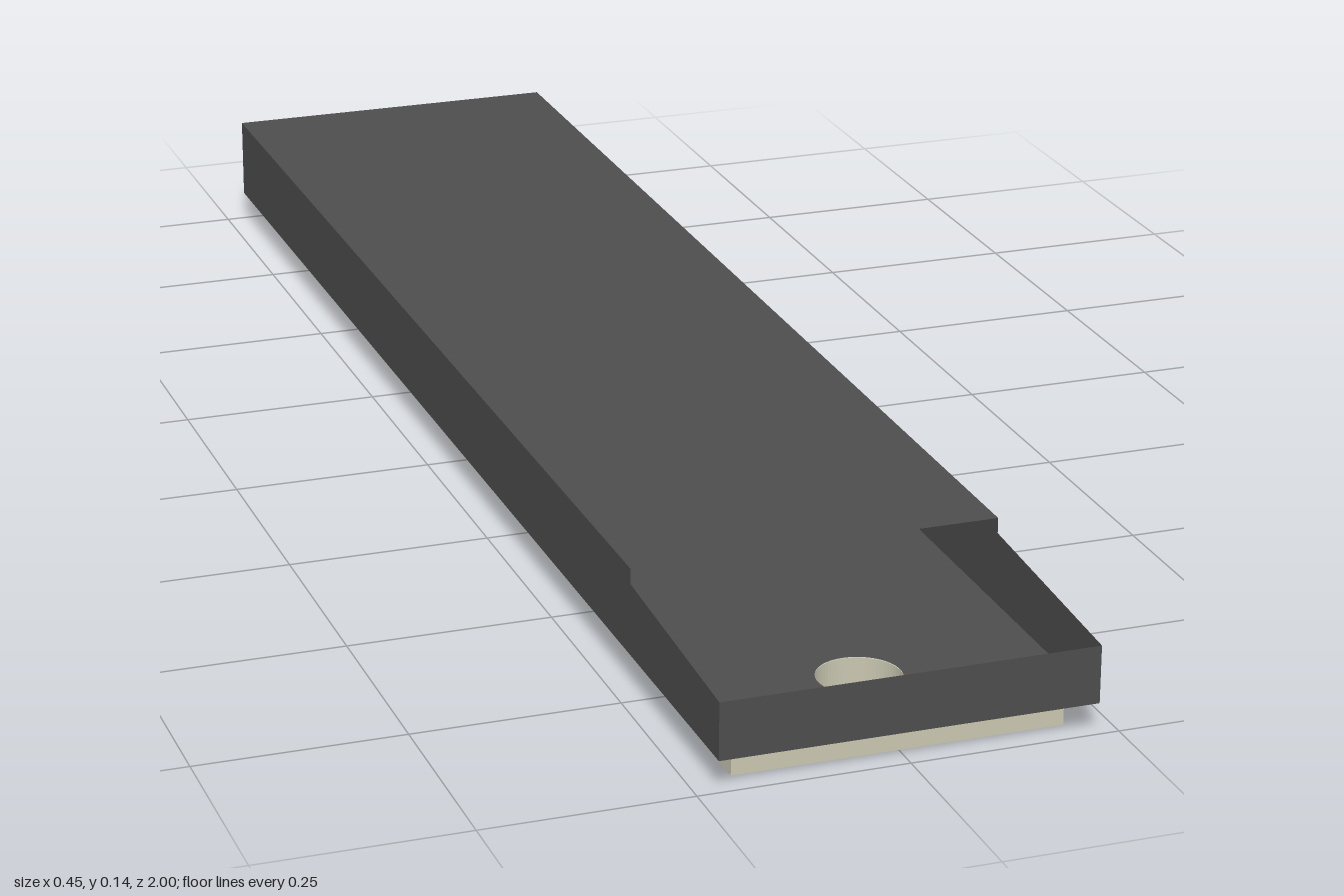
import * as THREE from 'three';

const W = 0.225, BASE = 0.038, TOP = 0.145, LIP = 0.108, STEP_Z = 0.71;
const HOLE_Z = 0.845, HOLE_R = 0.05;

// Outline in (x, z) with the round through-hole
function plate(halfW, back, front) {
  const s = new THREE.Shape([
    new THREE.Vector2(-halfW, back), new THREE.Vector2(halfW, back),
    new THREE.Vector2(halfW, front), new THREE.Vector2(-halfW, front),
  ]);
  s.holes.push(new THREE.Path().absarc(0, HOLE_Z, HOLE_R, 0, Math.PI * 2, true));
  return s;
}

export function createModel() {
  const group = new THREE.Group();
  const dark = new THREE.MeshStandardMaterial({ color: 0x4d4d4d, side: THREE.DoubleSide });
  const cream = new THREE.MeshStandardMaterial({ color: 0xc8c6b0 });
  const add = (name, geometry, material) => {
    const mesh = new THREE.Mesh(geometry, material);
    mesh.name = name;
    group.add(mesh);
    return mesh;
  };

  // Base pad with the hole running through it
  const pad = new THREE.ExtrudeGeometry(plate(0.198, -0.98, 0.965),
    { depth: BASE - 0.001, bevelEnabled: false, curveSegments: 32 });
  add('basePad', pad.rotateX(Math.PI / 2).translate(0, BASE - 0.001, 0), cream);

  // Thin floor of the cover
  const floor = new THREE.ShapeGeometry(plate(W, -1, 1), 32);
  add('coverFloor', floor.rotateX(Math.PI / 2).translate(0, BASE, 0), dark);

  // Side walls, stepped down and sloping towards the open front
  const profile = new THREE.Shape([
    [-1, BASE], [1, BASE], [1, LIP], [STEP_Z, 0.126], [STEP_Z, TOP], [-1, TOP],
  ].map(([z, y]) => new THREE.Vector2(z, y)));
  for (const side of [-1, 1]) {
    const wall = new THREE.ShapeGeometry(profile).rotateY(-Math.PI / 2);
    add(side > 0 ? 'leftWall' : 'rightWall', wall.translate(side * W, 0, 0), dark);
  }

  // End walls
  add('frontWall', new THREE.PlaneGeometry(2 * W, LIP - BASE)
    .translate(0, (LIP + BASE) / 2, 1), dark);
  add('backWall', new THREE.PlaneGeometry(2 * W, TOP - BASE)
    .rotateY(Math.PI).translate(0, (TOP + BASE) / 2, -1), dark);

  // Lid, stopping short of the front recess
  add('lid', new THREE.PlaneGeometry(2 * W, STEP_Z + 1)
    .rotateX(-Math.PI / 2).translate(0, TOP, (STEP_Z - 1) / 2), dark);

  return group;
}
